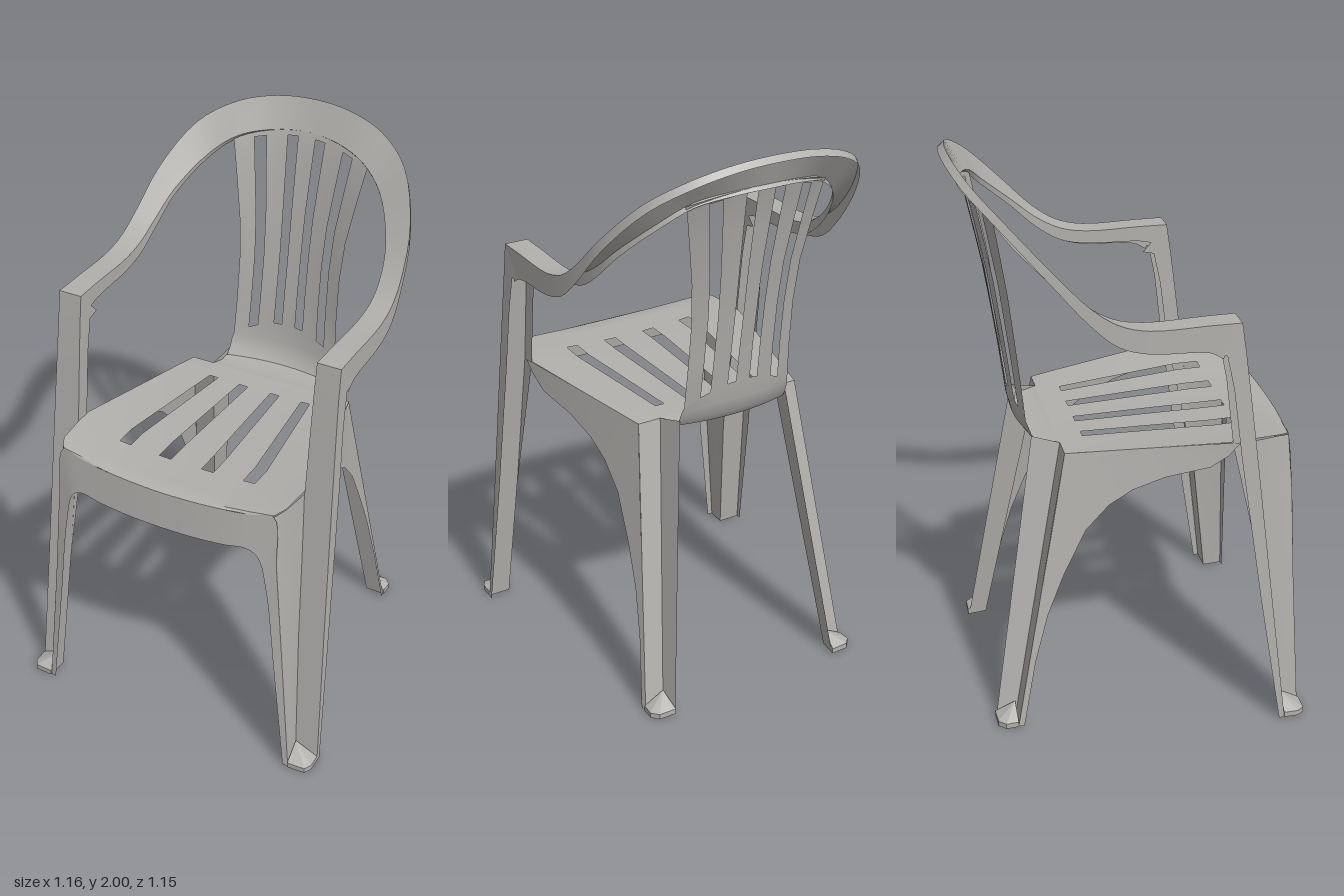
import * as THREE from 'three';
import { toCreasedNormals } from 'three/addons/utils/BufferGeometryUtils.js';
import { ConvexGeometry } from 'three/addons/geometries/ConvexGeometry.js';

const plastic = new THREE.MeshStandardMaterial({ color: 0xb2b0ad, side: THREE.DoubleSide });
plastic.name = 'greyPlastic';

// Sheet through a list of equally long point rows; skip(i, j) leaves a cell open
function loft(name, rows, skip = () => false) {
  const n = rows[0].length, index = [];
  for (let i = 0; i < rows.length - 1; i++)
    for (let j = 0; j < n - 1; j++) {
      if (skip(i, j)) continue;
      const a = i * n + j, b = a + n;
      index.push(a, a + 1, b, b, a + 1, b + 1);
    }
  const geo = new THREE.BufferGeometry();
  geo.setAttribute('position', new THREE.Float32BufferAttribute(rows.flat(2), 3));
  geo.setIndex(index);
  const mesh = new THREE.Mesh(toCreasedNormals(geo, 0.6), plastic);
  mesh.name = name;
  return mesh;
}

// Smooth run through points, sampled evenly per span
const smooth = (pts, n) =>
  new THREE.CatmullRomCurve3(pts.map(p => new THREE.Vector3(...p)), false, 'centripetal')
    .getPoints(n).map(p => p.toArray());
const flip = (pts, s) => pts.map(([x, y, z]) => [x * s, y, z]);
const add = (p, q) => p.map((v, k) => v + q[k]);
const mirrored = list => [...list.map(v => -v).reverse(), 0, ...list];

// Seat: rows run front to back, columns follow the slot edges
function seat() {
  const us = mirrored([0.135, 0.24, 0.37, 0.5, 0.6, 0.8, 1]);
  const slots = [1, 4];
  // z, half width, edge height, centre dip, bow of the row
  const rows = [
    [0.557, 0.385, 1.045, 0.015, 0.032], [0.545, 0.405, 1.055, 0.02, 0.025],
    [0.49, 0.428, 1.063, 0.03, 0.01], [0.382, 0.437, 1.063, 0.03, 0],
    [0.3, 0.44, 1.06, 0.028, 0], [0.1, 0.396, 1.045, 0.018, 0],
    [-0.155, 0.34, 1.027, 0.008, 0], [-0.24, 0.32, 1.02, 0, 0],
  ];
  const grid = rows.map(([z, w, y, dip, bow]) =>
    us.map(u => [u * w, y - dip * (1 - u * u), z - bow * u * u]));
  return loft('seat', grid, (i, j) => {
    const k = j >= 7 ? j - 7 : 6 - j;
    return i >= 3 && i < 6 && slots.includes(k);
  });
}

// Backrest: curves up from the seat and is split into five slats
function backrest() {
  const us = mirrored([0.13, 0.28, 0.43, 0.58, 0.74, 1]);
  const slots = [1, 4];
  // y, z, half width, forward bow, drop at the edge
  const rows = [
    [1.02, -0.24, 0.235, 0, 0], [1.012, -0.3, 0.225, 0.015, 0],
    [1.02, -0.345, 0.218, 0.03, 0], [1.05, -0.368, 0.215, 0.035, 0],
    [1.1, -0.38, 0.213, 0.036, 0.02], [1.17, -0.388, 0.208, 0.037, 0.07],
    [1.3, -0.405, 0.202, 0.04, 0.05], [1.45, -0.427, 0.2, 0.045, 0.04],
    [1.6, -0.45, 0.21, 0.05, 0.04], [1.75, -0.48, 0.235, 0.055, 0.04],
    [1.875, -0.506, 0.257, 0.06, 0.045], [1.893, -0.512, 0.265, 0.062, 0.045],
  ];
  const grid = rows.map(([y, z, w, bow, drop]) =>
    us.map(u => [u * w, y - drop * u * u, z + bow * u * u]));
  return loft('backrest', grid, (i, j) => {
    const k = j >= 6 ? j - 6 : 5 - j;
    return i >= 5 && i < 10 && slots.includes(k);
  });
}

// Arm band: sweeps from one arm over the back to the other
function armBand() {
  const outer = [[0.525, 1.53, 0.305], [0.525, 1.53, 0.2], [0.525, 1.53, 0], [0.522, 1.557, -0.1],
    [0.513, 1.62, -0.19], [0.485, 1.74, -0.305], [0.4, 1.88, -0.435], [0.28, 1.953, -0.51],
    [0.14, 1.99, -0.545], [0, 2, -0.555]];
  const inner = [[0.44, 1.53, 0.305], [0.442, 1.53, 0.2], [0.445, 1.528, 0], [0.445, 1.548, -0.1],
    [0.437, 1.6, -0.19], [0.41, 1.68, -0.28], [0.33, 1.79, -0.395], [0.24, 1.855, -0.45],
    [0.12, 1.885, -0.495], [0, 1.893, -0.512]];
  const lipOut = [[0, -0.12, -0.06], [0, -0.095, 0], [0, -0.08, 0], [0, -0.075, 0], [0, -0.06, 0],
    [0, -0.035, -0.01], [0, -0.025, -0.015], [0, -0.02, -0.02], [0, -0.018, -0.022], [0, -0.018, -0.022]];
  const full = pts => [...pts, ...flip(pts.slice(0, -1).reverse(), -1)];
  const lines = [
    inner.map((p, i) => add(p, lipOut[i].map(v => v * 0.6))),
    inner, outer,
    outer.map((p, i) => add(p, lipOut[i])),
  ];
  return loft('armBand', lines.map(l => smooth(full(l), 72)));
}

// Front leg: front panel with a rear lip, rising to the arm
function frontLeg(s) {
  const outer = [[0.58, 0, 0.5], [0.56, 0.5, 0.438], [0.54, 1.05, 0.37], [0.531, 1.3, 0.338],
    [0.527, 1.42, 0.322], [0.525, 1.53, 0.305]];
  const inner = [[0.495, 0, 0.5], [0.465, 0.5, 0.438], [0.44, 1.05, 0.37], [0.44, 1.3, 0.338],
    [0.44, 1.42, 0.322], [0.44, 1.53, 0.305]];
  const depth = [0.02, 0.04, 0.055, 0.055, 0.065, 0.09];
  const back = (p, i) => add(p, [0, i === 5 ? -0.1 : 0, -depth[i]]);
  return loft('frontLeg', [
    inner.map((p, i) => (i < 2 ? p : back(p, i))), inner, outer, outer.map(back),
  ].map(l => flip(l, s)));
}

// Outer corner line shared by the front apron and the leg's side panel
const corner = [[0.405, 1.05, 0.522], [0.425, 0.85, 0.537], [0.455, 0.5, 0.55], [0.5, 0, 0.573]];

function frontLegSide(s) {
  const rear = [[0.44, 1.055, 0.37], [0.45, 0.85, 0.395], [0.465, 0.5, 0.438], [0.495, 0, 0.5]];
  const mid = [[0.428, 1.06, 0.48], [0.438, 0.85, 0.49], [0.462, 0.5, 0.51], [0.497, 0, 0.54]];
  return loft('frontLegSide', [rear, mid, corner].map(l => flip(l, s)));
}

// Front apron: hangs from the seat lip and arches into the front leg
function frontApron(s) {
  const top = [[0, 1.03, 0.557], [0.12, 1.032, 0.554], [0.24, 1.036, 0.545], [0.33, 1.041, 0.533], ...corner];
  const arch = [[0, 0.895, 0.572], [0.12, 0.897, 0.57], [0.24, 0.903, 0.562], [0.32, 0.91, 0.553],
    [0.36, 0.885, 0.549], [0.392, 0.76, 0.549], [0.432, 0.42, 0.56], [0.48, 0, 0.575]];
  return loft('frontApron', [smooth(top, 42), smooth(arch, 42)].map(l => flip(l, s)));
}

// Side apron: follows the seat edge and arches into the back leg
function sideApron(s) {
  const place = ([z, y]) =>
    [0.44 - (0.3 - z) * 0.222 + 0.145 * Math.max(0, 1 - y / 1.02), y, z];
  const top = [[0.34, 1.06], [0.25, 1.055], [0.12, 1.046], [0, 1.038], [-0.12, 1.029], [-0.24, 1.02],
    [-0.29, 0.76], [-0.34, 0.51], [-0.39, 0.255], [-0.44, 0]];
  const arch = [[0.3, 1.01], [0.24, 0.97], [0.09, 0.935], [-0.02, 0.89], [-0.1, 0.835],
    [-0.18, 0.745], [-0.26, 0.58], [-0.32, 0.43], [-0.37, 0.25], [-0.42, 0]];
  return loft('sideApron', [top, arch].map(l => flip(l.map(place), s)));
}

// Back leg: rear panel and inner panel meeting in a hollow corner
function backLeg(s) {
  return loft('backLeg', [
    [[0.32, 1.02, -0.24], [0.421, 0, -0.44]],
    [[0.235, 1.02, -0.24], [0.35, 0, -0.44]],
    [[0.215, 1.045, -0.335], [0.34, 0, -0.508]],
  ].map(l => flip(l, s)));
}

// Foot: low pad that rises towards the hollow corner of the leg
function foot(name, outline, peak, s) {
  const pts = outline.flatMap(([x, z]) => [0, 0.02].map(y => new THREE.Vector3(x * s, y, z)));
  pts.push(new THREE.Vector3(peak[0] * s, 0.06, peak[1]));
  const mesh = new THREE.Mesh(new ConvexGeometry(pts), plastic);
  mesh.name = name;
  return mesh;
}

export function createModel() {
  const chair = new THREE.Group();
  chair.name = 'gardenChair';
  chair.add(seat(), backrest(), armBand());
  for (const s of [1, -1]) {
    chair.add(
      frontLeg(s), frontLegSide(s), frontApron(s), sideApron(s), backLeg(s),
      foot('frontFoot', [[0.58, 0.5], [0.58, 0.55], [0.565, 0.575], [0.5, 0.578], [0.495, 0.5]], [0.495, 0.5], s),
      foot('backFoot', [[0.425, -0.44], [0.428, -0.485], [0.405, -0.51], [0.34, -0.512], [0.35, -0.44]], [0.35, -0.44], s),
    );
  }
  return chair;
}
